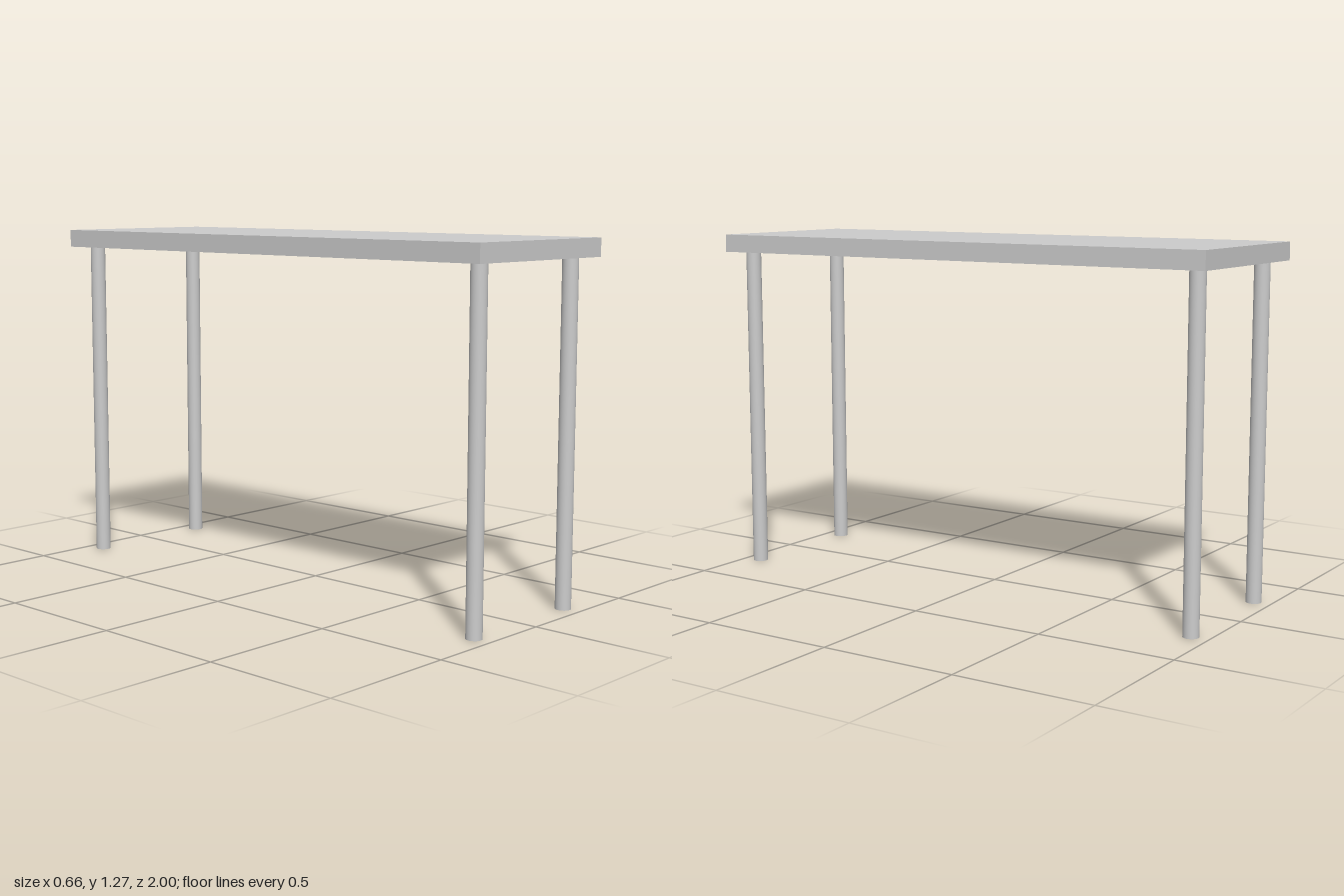
import * as THREE from 'three';

export function createModel() {
  const model = new THREE.Group();
  model.name = 'table';
  const material = new THREE.MeshStandardMaterial({ color: 0xcccccc });

  const height = 1.272, thickness = 0.065, legHeight = height - thickness;

  // Flat slab top
  const top = new THREE.Mesh(new THREE.BoxGeometry(0.664, thickness, 2), material);
  top.name = 'tableTop';
  top.position.y = height - thickness / 2;
  model.add(top);

  // Four round legs set in from the corners
  const legGeometry = new THREE.CylinderGeometry(0.028, 0.028, legHeight, 32);
  for (const [side, x] of [['Left', 0.25], ['Right', -0.25]]) {
    for (const [end, z] of [['front', 0.935], ['back', -0.935]]) {
      const leg = new THREE.Mesh(legGeometry, material);
      leg.name = `${end}${side}Leg`;
      leg.position.set(x, legHeight / 2, z);
      model.add(leg);
    }
  }
  return model;
}
